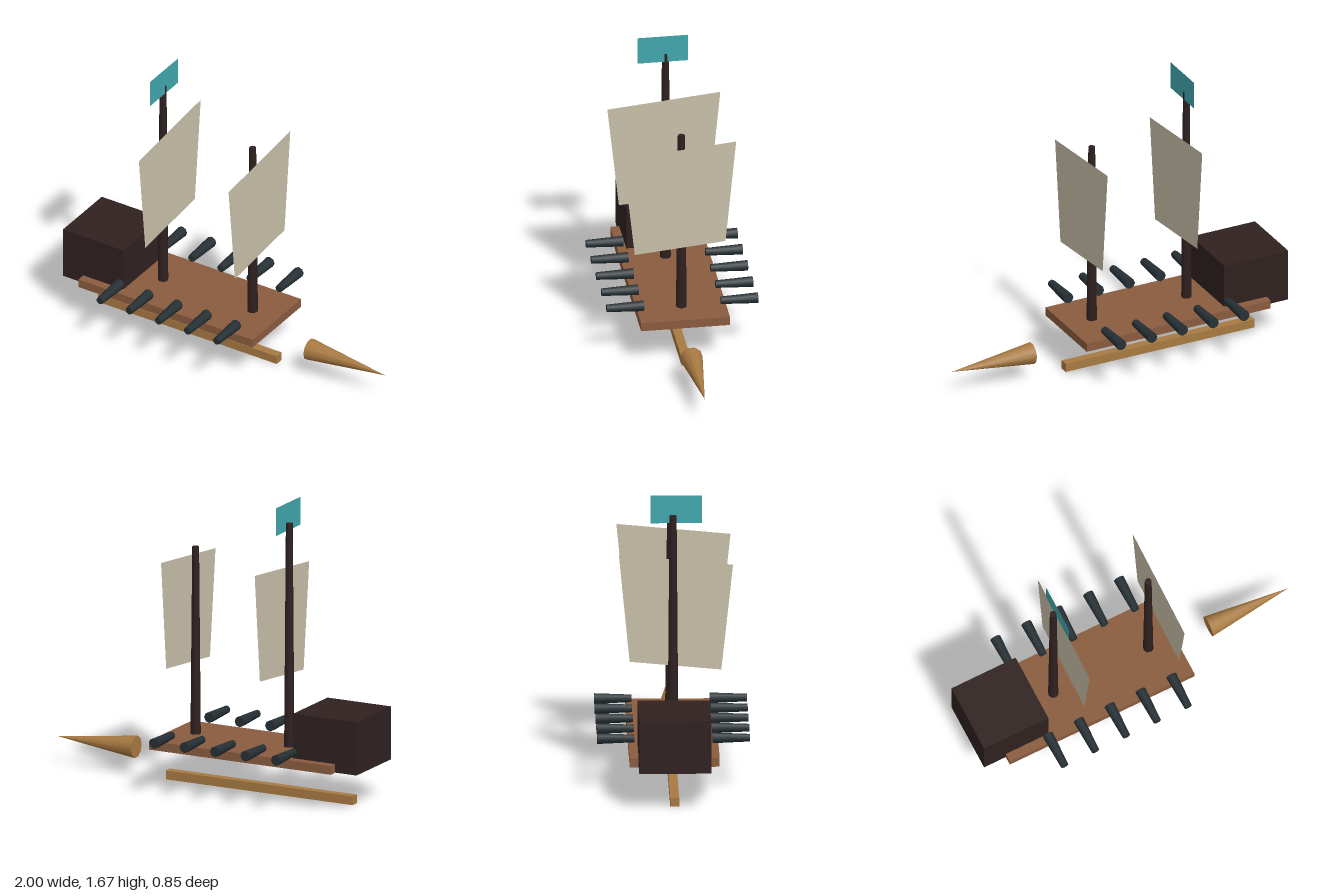
import * as THREE from 'three';

const mat = (color, side = THREE.FrontSide) => new THREE.MeshStandardMaterial({ color, side });

export function createModel() {
  const ship = new THREE.Group();
  ship.name = 'sailingShip';
  const darkWood = mat(0x2f2120);
  const deckWood = mat(0x8a5c3e);
  const paleWood = mat(0xa87a42);
  const iron = mat(0x263035);
  const canvas = mat(0xc9c0aa, THREE.DoubleSide);
  const cloth = mat(0x40a8ae, THREE.DoubleSide);

  const add = (name, geometry, material, x, y, z = 0) => {
    const mesh = new THREE.Mesh(geometry, material);
    mesh.name = name;
    mesh.position.set(x, y, z);
    ship.add(mesh);
    return mesh;
  };

  // Flat sheet standing across the ship; corners are [z, y] pairs
  const sheet = (name, corners, material, x) => {
    const shape = new THREE.Shape(corners.map(([z, y]) => new THREE.Vector2(-z, y)));
    add(name, new THREE.ShapeGeometry(shape).rotateY(Math.PI / 2), material, x, 0);
  };

  // Hull: keel, deck, stern cabin and bow spike
  add('keel', new THREE.BoxGeometry(1.18, 0.05, 0.05), paleWood, -0.29, 0.025);
  add('deck', new THREE.BoxGeometry(1.15, 0.05, 0.5), deckWood, -0.29, 0.25);
  add('sternCabin', new THREE.BoxGeometry(0.4, 0.305, 0.4), darkWood, -0.8, 0.3785);
  add('bowsprit', new THREE.ConeGeometry(0.063, 0.5, 10).rotateZ(-Math.PI / 2), paleWood, 0.75, 0.155);

  // Masts, each with a skewed sail just ahead of it
  const sailCorners = [[0.27, 0.652], [-0.24, 0.7], [-0.3, 1.322], [0.335, 1.26]];
  for (const [name, x, top] of [['main', -0.467, 1.563], ['fore', 0.125, 1.355]]) {
    const height = top - 0.28;
    add(name + 'Mast', new THREE.CylinderGeometry(0.02, 0.03, height, 8), darkWood, x, 0.28 + height / 2);
    sheet(name + 'Sail', sailCorners, canvas, x + 0.056);
  }

  // Flag at the head of the main mast
  sheet('flag', [[0.16, 1.515], [-0.125, 1.515], [-0.125, 1.675], [0.16, 1.675]], cloth, -0.45);

  // Five cannons along each side
  const barrel = new THREE.CylinderGeometry(0.022, 0.031, 0.208, 8).rotateX(Math.PI / 2);
  for (const side of [-1, 1]) {
    for (let i = 0; i < 5; i++) {
      add('cannon', barrel, iron, -0.612 + i * 0.1925, 0.316, side * 0.321);
    }
  }
  return ship;
}
